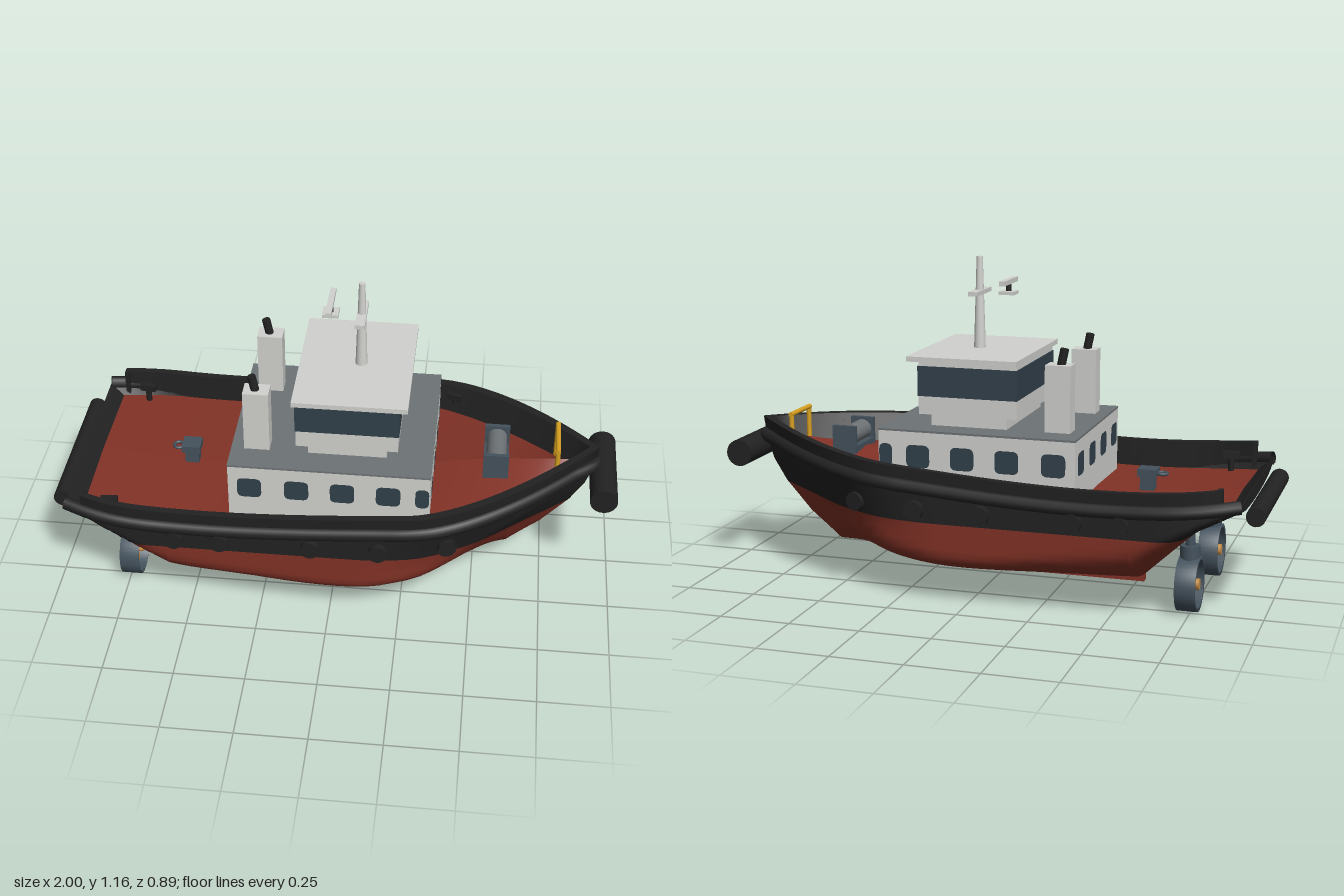
import * as THREE from 'three';
import { mergeGeometries } from 'three/addons/utils/BufferGeometryUtils.js';

const paint = (name, color, double) => {
  const m = new THREE.MeshStandardMaterial({ color });
  m.name = name;
  if (double) m.side = THREE.DoubleSide;
  return m;
};

export function createModel() {
  const root = new THREE.Group();
  root.name = 'tugboat';
  const black = paint('rubberBlack', 0x222222, true);
  const red = paint('hullRed', 0x823226, true);
  const white = paint('houseWhite', 0xd2d2cf);
  const grey = paint('roofGrey', 0x6e7376);
  const glass = paint('windowGlass', 0x32414b);
  const steel = paint('machinerySteel', 0x44525d, true);
  const yellow = paint('stapleYellow', 0xd8a020);
  const bronze = paint('propellerBronze', 0xc8924a, true);

  const add = (name, geo, mat, x = 0, y = 0, z = 0, parent = root) => {
    const m = new THREE.Mesh(geo, mat);
    m.name = name;
    m.position.set(x, y, z);
    parent.add(m);
    return m;
  };
  // Box given by its minimum and maximum corners
  const box = (name, mat, x0, x1, y0, y1, z0, z1) =>
    add(name, new THREE.BoxGeometry(x1 - x0, y1 - y0, z1 - z0), mat, (x0 + x1) / 2, (y0 + y1) / 2, (z0 + z1) / 2);
  // Cylinder lying across the boat
  const roller = (name, mat, r, len, x, y, z = 0) => {
    const m = add(name, new THREE.CylinderGeometry(r, r, len, 24), mat, x, y, z);
    m.rotation.x = Math.PI / 2;
    return m;
  };

  // Surface through rows of points
  const grid = (rows) => {
    const n = rows[0].length, idx = [];
    for (let j = 0; j < rows.length - 1; j++)
      for (let i = 0; i < n - 1; i++) {
        const a = j * n + i, b = a + 1, c = a + n, d = c + 1;
        idx.push(a, b, d, a, d, c);
      }
    const g = new THREE.BufferGeometry().setFromPoints(rows.flat());
    g.setIndex(idx);
    g.computeVertexNormals();
    return g;
  };

  // Curves along the boat: bulwark top, hull edge, deck side, keel, bilge and half breadth
  const { smoothstep } = THREE.MathUtils;
  const rail = (x) => 0.464 + 0.0712 * x + 0.0502 * x * x - 0.05 * x ** 3;
  const sheer = (x) => rail(x) - 0.065;
  const deckY = (x) => rail(x) - 0.1;
  const along = (pts, x) => {
    const i = Math.max(1, pts.findIndex((p) => p[0] >= x - 1e-9));
    const [x0, y0] = pts[i - 1], [x1, y1] = pts[i];
    return y0 + ((y1 - y0) * (x - x0)) / (x1 - x0);
  };
  const keelPoints = [[-0.93, 0.37], [-0.78, 0.29], [-0.57, 0.085], [0.62, 0.085], [0.74, 0.18], [0.84, 0.29], [0.89, 0.37], [0.92, 0.455]];
  const keel = (x) => along(keelPoints, x);
  const bilgeCurve = new THREE.SplineCurve([[-0.93, 0.41], [-0.78, 0.345], [-0.57, 0.26], [-0.4, 0.225], [0, 0.175], [0.3, 0.21], [0.5, 0.29], [0.7, 0.39], [0.92, 0.5]]
    .map(([x, y]) => new THREE.Vector2(x, y))).getPoints(80).map((p) => [p.x, p.y]);
  const plan = (u, p = 1.65) => {
    if (u < 0.15) return 1 - 0.12 * (1 - u / 0.15) ** 2;
    return u < 0.66 ? 1 : Math.max(0, 1 - ((u - 0.66) / 0.34) ** p);
  };
  const breadth = (x) => 0.42 * plan((x + 0.93) / 1.85);

  // Half breadth at a height: round bilge amidships, sharp and flared towards the bow
  const halfAt = (x, y) => {
    const k = keel(x), top = sheer(x);
    const t = (y - k) / Math.min(along(bilgeCurve, x) - k, top - k);
    const n = 2.1 - 0.8 * smoothstep(x, 0.05, 0.7);
    const flare = 1 - 0.3 * smoothstep(x, 0.1, 0.7) * Math.min(1, (top - y) / (top - 0.25));
    return breadth(x) * flare * (1 - (1 - THREE.MathUtils.clamp(t, 0, 1)) ** n) ** (1 / n);
  };
  const stations = [-0.93];
  for (let i = 1; i < keelPoints.length; i++) {
    const x0 = keelPoints[i - 1][0], x1 = keelPoints[i][0], n = x1 - x0 > 0.5 ? 36 : 10;
    for (let k = 1; k <= n; k++) stations.push(x0 + (x1 - x0) * (0.5 - 0.5 * Math.cos((Math.PI * k) / n)));
  }
  // Both sides of the hull between two height curves
  const shell = (xs, low, high) => [1, -1].map((s) => {
    const rows = [];
    for (let j = 0; j <= 12; j++) {
      const row = xs.map((x) => {
        const y = low(x) + (high(x) - low(x)) * (j / 12) ** 2;
        return new THREE.Vector3(x, y, s * halfAt(x, y));
      });
      rows.push(s > 0 ? row : row.reverse());
    }
    return rows;
  });

  // Hull, red below the waterline and black above
  const waterY = 0.29;
  const below = shell(stations.filter((x) => x > -0.781 && x < 0.841), keel, () => waterY);
  add('lowerHull', mergeGeometries(below.map(grid)), red);
  const above = shell(stations, (x) => Math.max(keel(x), waterY), sheer);
  const transom = above[0].map((row, j) => [above[1][j].at(-1), row[0]]);
  add('upperHull', mergeGeometries([...above, transom].map(grid)), black);
  box('skeg', red, -0.54, 0.14, 0.025, 0.1, -0.016, 0.016);

  // Deck-level outline from the left stern corner round the bow to the right stern corner
  const N = 40;
  const level = (y, xs, xb, w, u0 = 0, p = 1.65) => {
    const pts = [];
    for (let i = -N; i <= N; i++) {
      const u = u0 + (1 - u0) * (1 - Math.abs(i) / N);
      const x = xs + (xb - xs) * u;
      pts.push(new THREE.Vector3(x, y(x), -Math.sign(i) * w * plan(u, p)));
    }
    return pts;
  };
  const edge = level(sheer, -0.93, 0.92, 0.42);
  const inner = level(sheer, -0.925, 0.9, 0.405);
  const deckEdge = level(deckY, -0.88, 0.86, 0.395, 0, 1.4);
  const sternWall = [deckEdge, inner, edge].map((l) => [l[2 * N], l[0]]);
  add('innerHull', mergeGeometries([grid([inner, deckEdge]), grid(sternWall)]), black);

  // Deck with a crown along the centreline
  const leftEdge = deckEdge.slice(0, N + 1), rightEdge = deckEdge.slice(N).reverse();
  const crown = leftEdge.map((p) => new THREE.Vector3(p.x, p.y + 0.012 + 0.03 * smoothstep(p.x, 0.1, 0.6), 0));
  add('deck', mergeGeometries([grid([leftEdge, crown]), grid([crown, rightEdge])]), red);

  // Bulwark with outer, top and inner faces
  const u0 = 0.032;
  const bulwark = [
    level(sheer, -0.93, 0.92, 0.42, u0), level(rail, -0.93, 0.93, 0.424, u0),
    level(rail, -0.93, 0.895, 0.398, u0), level(deckY, -0.93, 0.86, 0.395, u0, 1.4)];
  add('bulwark', mergeGeometries([0, 1, 2].map((i) => grid([bulwark[i], bulwark[i + 1]]))), black);

  // Rubbing fenders
  const path = new THREE.CatmullRomCurve3(edge.filter((p, i) => i % 2 === 0), false, 'centripetal');
  add('sheerFender', new THREE.TubeGeometry(path, 160, 0.024, 10), black);
  roller('bowFender', black, 0.049, 0.35, 0.95, 0.425);
  roller('sternFender', black, 0.033, 0.57, -0.967, 0.365);
  for (const s of [1, -1]) {
    box('bulwarkEnd', black, -0.872, -0.855, 0.37, 0.473, s * 0.372 - 0.013, s * 0.372 + 0.013);
    for (const x of [-0.54, -0.38, -0.06, 0.175, 0.41]) {
      roller('sideTyre', black, 0.033, 0.03, x, 0.335, s * (halfAt(x, 0.335) + 0.008)).rotation.z = s * (x > 0.3 ? -0.3 : 0);
    }
    for (const [x, z, turn] of [[-0.78, 0.345, 0.1], [0.4, 0.36, 0.4], [0.69, 0.195, 0.7]]) {
      const y = rail(x) - 0.04;
      add('cleat', new THREE.BoxGeometry(0.06, 0.025, 0.024), black, x, y, s * z).rotation.y = s * turn;
      add('cleatPost', new THREE.CylinderGeometry(0.011, 0.011, 0.07, 10), black, x, y - 0.03, s * z);
    }
  }

  // Deckhouse
  box('deckhouse', white, -0.36, 0.345, 0.34, 0.58, -0.311, 0.311);
  box('deckhouseRoof', grey, -0.361, 0.346, 0.58, 0.587, -0.312, 0.312);
  const pane = (w, h) => {
    const s = new THREE.Shape(), r = 0.022, a = w / 2, b = h / 2;
    s.moveTo(-a + r, -b).lineTo(a - r, -b).quadraticCurveTo(a, -b, a, -b + r);
    s.lineTo(a, b - r).quadraticCurveTo(a, b, a - r, b).lineTo(-a + r, b);
    s.quadraticCurveTo(-a, b, -a, b - r).lineTo(-a, -b + r).quadraticCurveTo(-a, -b, -a + r, -b);
    return new THREE.ShapeGeometry(s, 6);
  };
  const porthole = pane(0.085, 0.08), narrow = pane(0.048, 0.08);
  for (const s of [1, -1]) {
    for (const x of [-0.285, -0.12, 0.04, 0.2, 0.318]) {
      add('sideWindow', x > 0.3 ? narrow : porthole, glass, x, 0.495, s * 0.314).rotation.y = s > 0 ? 0 : Math.PI;
    }
    for (const z of [-0.24, -0.08, 0.08, 0.24]) {
      add('endWindow', porthole, glass, s > 0 ? 0.348 : -0.363, 0.495, z).rotation.y = s * Math.PI / 2;
    }
  }

  // Wheelhouse
  box('wheelhouseBase', white, -0.09, 0.185, 0.58, 0.63, -0.212, 0.212);
  box('wheelhouse', white, -0.13, 0.225, 0.628, 0.82, -0.23, 0.23);
  box('wheelhouseWindows', glass, -0.133, 0.228, 0.692, 0.798, -0.233, 0.233);
  box('wheelhouseRoof', white, -0.14, 0.257, 0.817, 0.835, -0.265, 0.265);

  // Mast and radar
  add('mast', new THREE.CylinderGeometry(0.011, 0.021, 0.327, 16), white, 0.075, 0.9965, 0);
  box('mastCrossbar', white, 0.058, 0.092, 1.027, 1.042, -0.083, 0.083);
  box('radarPlatform', white, -0.06, -0.004, 1.029, 1.041, -0.028, 0.028);
  add('radarPost', new THREE.CylinderGeometry(0.01, 0.01, 0.03, 12), black, -0.032, 1.055, 0);
  box('radarBar', white, -0.042, -0.022, 1.066, 1.083, -0.083, 0.083);

  // Funnels with raked exhausts
  for (const s of [1, -1]) {
    box('funnel', white, -0.315, -0.225, 0.58, 0.82, s * 0.178 - 0.033, s * 0.178 + 0.033);
    add('exhaust', new THREE.CylinderGeometry(0.015, 0.015, 0.07, 14), black, -0.279, 0.84, s * 0.178).rotation.z = 0.2;
  }

  // Bow winch and staple
  roller('winchDrum', grey, 0.036, 0.17, 0.565, 0.49);
  box('winchBed', steel, 0.52, 0.61, 0.42, 0.46, -0.09, 0.09);
  for (const s of [1, -1]) {
    box('winchCheek', steel, 0.52, 0.61, 0.43, 0.535, s * 0.088 - 0.008, s * 0.088 + 0.008);
    add('staplePost', new THREE.CylinderGeometry(0.009, 0.009, 0.15, 12), yellow, 0.78, 0.49, s * 0.078);
  }
  roller('stapleBar', yellow, 0.009, 0.172, 0.78, 0.562);

  // Towing hook on the aft deck
  box('towPost', steel, -0.57, -0.52, 0.33, 0.41, -0.022, 0.022);
  box('towHead', steel, -0.58, -0.512, 0.41, 0.437, -0.033, 0.033);
  add('towHook', new THREE.TorusGeometry(0.018, 0.006, 8, 16), steel, -0.595, 0.42, 0).rotation.x = Math.PI / 2;

  // Ducted thrusters
  const blade = new THREE.SphereGeometry(1, 12, 8);
  blade.scale(0.007, 0.036, 0.021);
  blade.rotateY(0.6);
  blade.translate(0, 0.048, 0);
  const ductProfile = [[0.083, -0.035], [0.095, -0.035], [0.095, 0.035], [0.089, 0.035], [0.083, -0.035]]
    .map(([r, y]) => new THREE.Vector2(r, y));
  for (const s of [1, -1]) {
    const unit = new THREE.Group();
    unit.name = 'thruster';
    unit.position.set(-0.74, 0.098, s * 0.216);
    root.add(unit);
    add('duct', new THREE.LatheGeometry(ductProfile, 40), steel, 0, 0, 0, unit).rotation.z = -Math.PI / 2;
    add('stem', new THREE.CylinderGeometry(0.017, 0.017, 0.18, 14), steel, 0, 0.173, 0, unit);
    add('stemCollar', new THREE.CylinderGeometry(0.034, 0.034, 0.05, 18), steel, 0, 0.11, 0, unit);
    add('hub', new THREE.CylinderGeometry(0.014, 0.02, 0.07, 16), bronze, 0, 0, 0, unit).rotation.z = -Math.PI / 2;
    for (let i = 0; i < 4; i++) add('blade', blade, bronze, 0, 0, 0, unit).rotation.x = i * Math.PI / 2;
  }
  return root;
}
